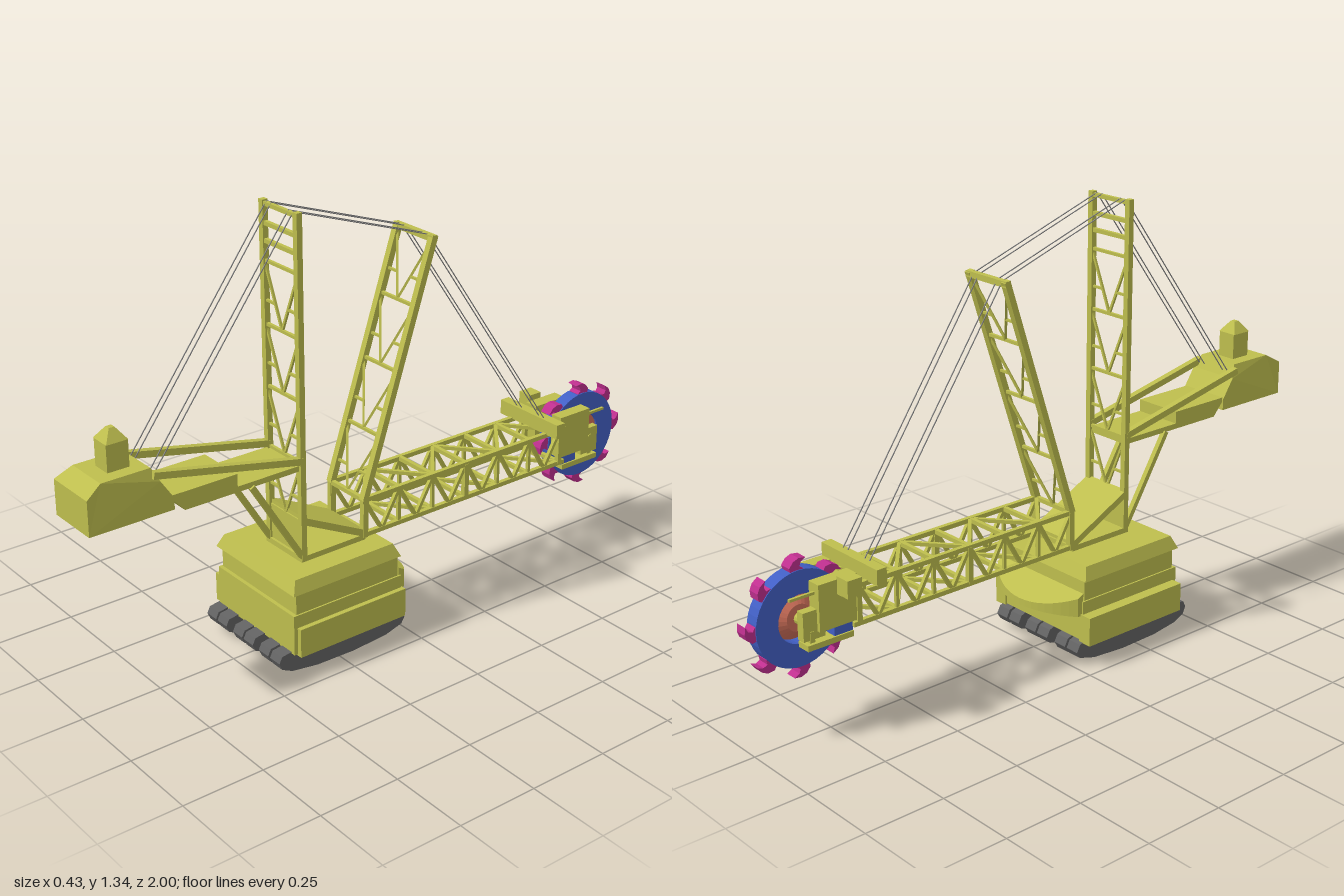
import * as THREE from 'three';

const CX = 0.024, XL = -0.053, XR = 0.102; // centre line and the two truss planes
const mat = (color) => new THREE.MeshStandardMaterial({ color, flatShading: true, side: THREE.DoubleSide });

export function createModel() {
  const root = new THREE.Group();
  root.name = 'bucketWheelExcavator';
  const yellow = mat(0xbebe4e), dark = mat(0x636363), blue = mat(0x4260c6),
    magenta = mat(0xc0308f), orange = mat(0xd0705a), steel = mat(0x8a8a8a);

  const group = (name) => {
    const g = new THREE.Group();
    g.name = name;
    root.add(g);
    return g;
  };
  const add = (parent, name, geo, m = yellow) => {
    const mesh = new THREE.Mesh(geo, m);
    mesh.name = name;
    parent.add(mesh);
    return mesh;
  };
  // Box given by its limits on each axis
  const box = (parent, name, x0, x1, y0, y1, z0, z1, m) => {
    const mesh = add(parent, name, new THREE.BoxGeometry(x1 - x0, y1 - y0, Math.abs(z1 - z0)), m);
    mesh.position.set((x0 + x1) / 2, (y0 + y1) / 2, (z0 + z1) / 2);
    return mesh;
  };
  // Square bar between two points
  const bar = (parent, name, a, b, w = 0.012, m = yellow) => {
    const p = new THREE.Vector3(...a), q = new THREE.Vector3(...b);
    const mesh = add(parent, name, new THREE.BoxGeometry(w, w, p.distanceTo(q)), m);
    mesh.position.copy(p).add(q).multiplyScalar(0.5);
    mesh.lookAt(q);
    return mesh;
  };
  // Side profile of [z, y] points, extruded from x0 to x1
  const profile = (pts, x0, x1) => {
    const shape = new THREE.Shape(pts.map((p) => new THREE.Vector2(...p)));
    return new THREE.ExtrudeGeometry(shape, { depth: x1 - x0, bevelEnabled: false })
      .rotateY(-Math.PI / 2).translate(x1, 0, 0);
  };
  // Move every vertex by a rule
  const warp = (geo, rule) => {
    const p = geo.attributes.position, v = new THREE.Vector3();
    for (let i = 0; i < p.count; i++) {
      rule(v.fromBufferAttribute(p, i));
      p.setXYZ(i, v.x, v.y, v.z);
    }
    geo.computeVertexNormals();
    return geo;
  };

  // Crawlers
  const crawlers = group('crawlers');
  const track = [[0.465, 0.055], [0.455, 0.075], [0.4, 0.083], [0.06, 0.083], [0.02, 0.068], [0.008, 0.045],
    [0.02, 0.025], [0.08, 0.008], [0.2, 0], [0.33, 0.003], [0.42, 0.016], [0.455, 0.033]];
  for (const x of [-0.162, -0.108, -0.028, 0.026, 0.102, 0.157])
    add(crawlers, 'crawlerTrack', profile(track, x - 0.023, x + 0.023), dark);

  // House: chassis, skirts, upper body and tapered roof
  const house = group('house');
  box(house, 'chassis', -0.18, 0.195, 0.075, 0.2, 0.035, 0.422);
  for (const [a, b] of [[-0.215, -0.17], [0.165, 0.21]]) box(house, 'sideSkirt', a, b, 0.07, 0.16, 0.03, 0.41);
  box(house, 'upperBody', -0.175, 0.19, 0.2, 0.267, 0.045, 0.41);
  const roof = add(house, 'roof', warp(new THREE.BoxGeometry(0.385, 0.04, 0.385), (v) => {
    if (v.y > 0) { v.x *= 0.91; v.z *= 0.91; }
  }));
  roof.position.set(0.005, 0.285, 0.23);
  // Rounded rear nose, sloping down away from the house
  const nose = new THREE.Shape();
  nose.moveTo(-0.175, -0.04);
  nose.lineTo(-0.175, -0.02);
  nose.quadraticCurveTo(-0.09, 0.05, 0.01, 0.05);
  nose.quadraticCurveTo(0.11, 0.05, 0.19, -0.02);
  nose.lineTo(0.19, -0.04);
  const noseGeo = new THREE.ExtrudeGeometry(nose, { depth: 0.06, bevelEnabled: false, curveSegments: 8 })
    .rotateX(-Math.PI / 2).translate(0, 0.155, 0);
  add(house, 'rearNose', warp(noseGeo, (v) => { if (v.y > 0.18) v.y = 0.175 + (v.z + 0.05) * 0.55; }));

  // Turntable frame under the masts
  const frame = group('mastFoot');
  box(frame, 'footPlate', -0.062, 0.11, 0.3, 0.322, 0.1, 0.33);
  box(frame, 'frontPlate', -0.055, 0.104, 0.3, 0.43, 0.312, 0.322);
  add(frame, 'slopedPlate', profile([[0.32, 0.445], [0.1, 0.335], [0.1, 0.312], [0.32, 0.422]], -0.062, 0.11));

  // Lattice mast: posts, rungs and V bracing; at(y) gives z
  const mast = (name, at, y0, y1, extraRungs) => {
    const g = group(name);
    for (const x of [XL, XR]) bar(g, 'post', [x, y0, at(y0)], [x, y1, at(y1)], 0.018);
    const rung = (y, w = 0.009) => bar(g, 'rung', [XL, y, at(y)], [XR, y, at(y)], w);
    for (let i = 0; i < 4; i++) {
      const top = 1.168 - i * 0.185, low = top - 0.185, mid = top - 0.115;
      rung(top);
      for (const x of [XL, XR]) {
        bar(g, 'brace', [x, top, at(top)], [CX, low, at(low)], 0.007);
        bar(g, 'halfRung', [x, mid, at(mid)], [x + (CX - x) * 0.62, mid, at(mid)], 0.007);
      }
    }
    rung(0.428);
    extraRungs.forEach((y) => rung(y, 0.012));
  };
  mast('rearMast', () => 0.32, 0.31, 1.34, [1.225, 1.275, 1.33]);
  mast('forwardMast', (y) => 0.1 - Math.max(0, y - 0.43) * 0.333, 0.31, 0.44, []);
  const leanZ = (y) => 0.1 - (y - 0.43) * 0.333;
  for (const x of [XL, XR])
    bar(root.getObjectByName('forwardMast'), 'leaningPost', [x, 0.43, leanZ(0.43)], [x, 1.18, leanZ(1.18)], 0.02);
  bar(root.getObjectByName('forwardMast'), 'topBeam', [-0.062, 1.172, leanZ(1.172)], [0.111, 1.172, leanZ(1.172)], 0.018);

  // Counterweight arm
  const arm = group('counterweightArm');
  add(arm, 'armDeck', profile([[0.32, 0.59], [0.705, 0.59], [0.745, 0.635], [0.745, 0.645],
    [0.535, 0.645], [0.535, 0.607], [0.32, 0.607]], -0.055, 0.103));
  const weight = profile([[1, 0.605], [1, 0.71], [0.95, 0.74], [0.8, 0.74], [0.78, 0.7],
    [0.74, 0.64], [0.74, 0.605]], -0.06, 0.108);
  add(arm, 'counterweight', warp(weight, (v) => { if (v.y > 0.72) v.x = CX + (v.x - CX) * 0.84; }));
  box(arm, 'turret', -0.006, 0.054, 0.735, 0.82, 0.838, 0.905);
  const cap = add(arm, 'turretRoof', new THREE.CylinderGeometry(0.012, 0.047, 0.034, 4).rotateY(Math.PI / 4));
  cap.position.set(CX, 0.837, 0.872);
  for (const x of [XL, XR]) {
    bar(arm, 'upperStay', [x, 0.62, 0.32], [x, 0.722, 0.8], 0.02);
    bar(arm, 'lowerStrut', [x, 0.315, 0.32], [x, 0.592, 0.49], 0.016);
  }

  // Lattice boom
  const boom = group('boom');
  const Y0 = 0.318, Y1 = 0.43, step = 0.13;
  for (const x of [XL, XR]) for (const y of [Y0, Y1]) bar(boom, 'chord', [x, y, 0.105], [x, y, -0.7], 0.014);
  for (let i = 0; i <= 6; i++) {
    const z = 0.1 - i * step, odd = i % 2;
    for (const x of [XL, XR]) {
      bar(boom, 'upright', [x, Y0, z], [x, Y1, z], i % 3 ? 0.01 : 0.016);
      if (i < 6) {
        bar(boom, 'sideBrace', [x, Y1, z], [x, Y0, z - step / 2], 0.011);
        bar(boom, 'sideBrace', [x, Y0, z - step / 2], [x, Y1, z - step], 0.011);
      }
    }
    for (const y of [Y0, Y1]) {
      bar(boom, 'crossBar', [XL, y, z], [XR, y, z], 0.013);
      if (i < 6) bar(boom, 'flatBrace', [odd ? XL : XR, y, z], [odd ? XR : XL, y, z - step], 0.011);
    }
  }

  // Boom head with drive housings on both sides of the wheel
  const head = group('boomHead');
  box(head, 'crossBeam', -0.102, 0.155, 0.433, 0.48, -0.65, -0.617);
  box(head, 'operatorCab', -0.113, -0.065, 0.43, 0.482, -0.755, -0.707);
  box(head, 'cabBracket', -0.08, -0.04, 0.425, 0.44, -0.75, -0.712);
  for (const [a, b] of [[-0.057, -0.012], [0.062, 0.102]]) {
    box(head, 'driveHousing', a, b, 0.33, 0.468, -0.81, -0.685);
    box(head, 'gearbox', a + 0.012, b - 0.006, 0.31, 0.395, -0.855, -0.785);
    box(head, 'lowerBeam', a, b, 0.285, 0.302, -0.85, -0.7);
    box(head, 'hanger', a + 0.01, b - 0.01, 0.295, 0.335, -0.835, -0.82);
    box(head, 'motor', a + 0.005, b - 0.005, 0.3, 0.33, -0.76, -0.7, blue);
    bar(head, 'pipe', [(a + b) / 2, 0.44, -0.8], [(a + b) / 2, 0.44, -0.89], 0.008);
  }

  // Bucket wheel: ring, inner cone, axle and eight claw buckets
  const wheel = group('bucketWheel');
  wheel.position.set(0.028, 0.355, -0.828);
  const ring = new THREE.Shape().absarc(0, 0, 0.142, 0, Math.PI * 2);
  ring.holes.push(new THREE.Path().absarc(0, 0, 0.072, 0, Math.PI * 2, true));
  add(wheel, 'wheelDisc', new THREE.ExtrudeGeometry(ring, { depth: 0.044, bevelEnabled: false, curveSegments: 20 })
    .rotateY(-Math.PI / 2).translate(0.022, 0, 0), blue);
  add(wheel, 'wheelCone', new THREE.CylinderGeometry(0.04, 0.074, 0.03, 24).rotateZ(Math.PI / 2), orange);
  add(wheel, 'axle', new THREE.CylinderGeometry(0.018, 0.018, 0.14, 12).rotateZ(Math.PI / 2), yellow);
  const claw = [[0.125, -0.02], [0.152, -0.027], [0.168, -0.014], [0.175, 0.004], [0.172, 0.026],
    [0.163, 0.01], [0.15, 0.006], [0.142, 0.018], [0.125, 0.016]];
  for (let i = 0; i < 8; i++) {
    const bucket = add(wheel, 'bucket', profile(claw.map(([r, t]) => [-r, t]), -0.019, 0.019), magenta);
    bucket.rotation.x = i * Math.PI / 4;
  }

  // Suspension cables
  const cables = group('cables');
  for (const x of [-0.038, -0.016, 0.062, 0.084]) {
    const path = [[x, 0.72, 0.78], [x, 1.337, 0.32], [x, 1.178, -0.148], [x, 0.475, -0.63]];
    for (let i = 0; i < 3; i++) bar(cables, 'cable', path[i], path[i + 1], 0.0025, steel);
  }
  return root;
}
